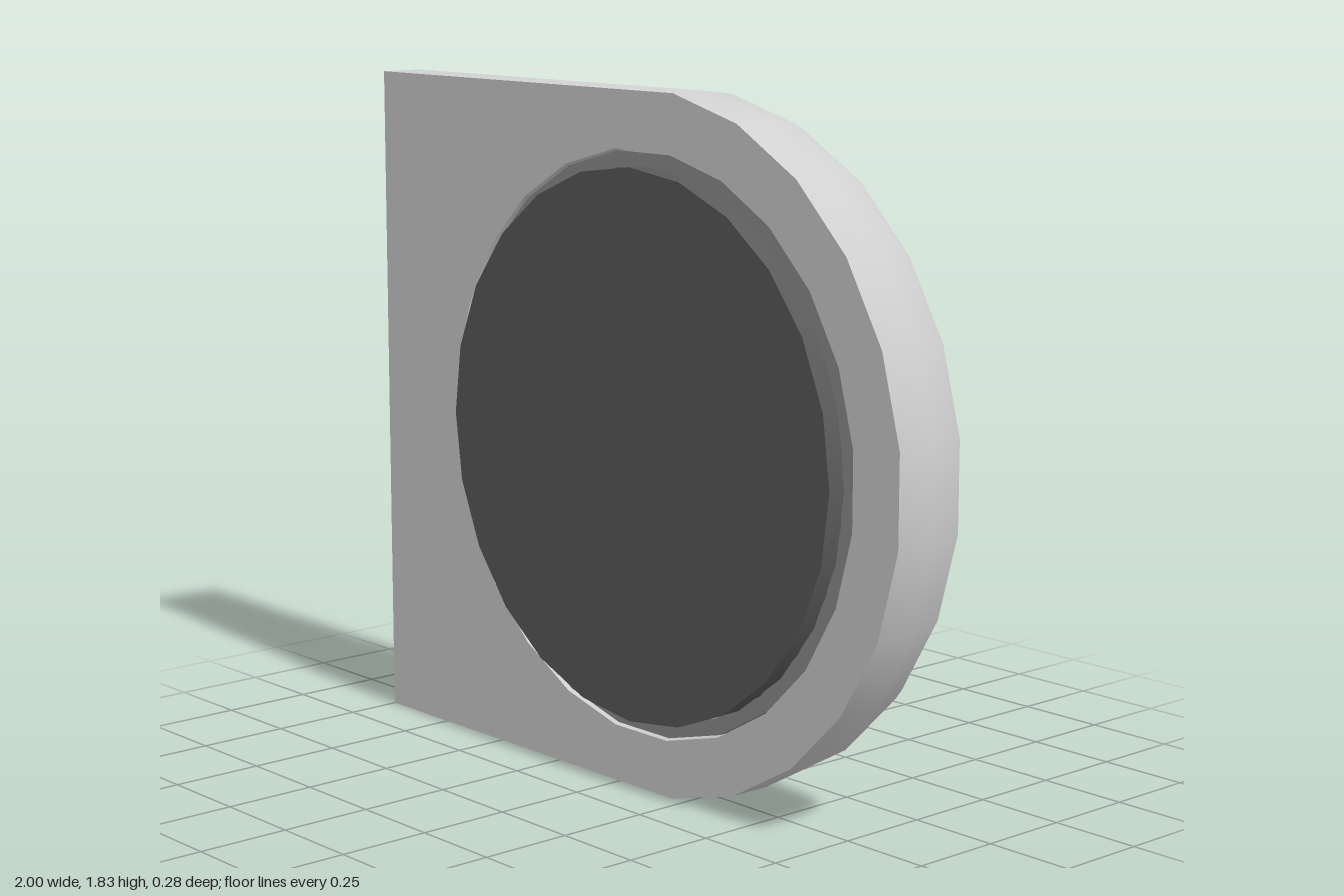
import * as THREE from 'three';
import { toCreasedNormals } from 'three/addons/utils/BufferGeometryUtils.js';

const CX = 0.085, CY = 0.915;
const CREASE = 0.5;

// circle arc points around the dial centre, in steps of 15 degrees
function arc(r, from, steps) {
  return Array.from({ length: steps }, (_, i) => {
    const a = THREE.MathUtils.degToRad(from + i * 15);
    return new THREE.Vector2(CX + r * Math.cos(a), CY + r * Math.sin(a));
  });
}

// housing outline: square on one end, round on the other
function outline(inset) {
  return [
    new THREE.Vector2(-1, inset),
    ...arc(0.923 - inset, -82.5, 12),
    new THREE.Vector2(-1, 2 * CY - inset),
  ];
}

const holeLoop = (r) => arc(r, 7.5, 24).reverse();

// wall through closed loops listed from front to back
function loft(layers) {
  const pos = [], index = [], n = layers[0].loop.length;
  layers.forEach(({ loop, z }) => loop.forEach((p) => pos.push(p.x, p.y, z)));
  for (let k = 0; k < layers.length - 1; k++) {
    for (let i = 0; i < n; i++) {
      const j = (i + 1) % n;
      const a = k * n + i, b = k * n + j, c = a + n, d = b + n;
      index.push(a, c, b, b, c, d);
    }
  }
  const g = new THREE.BufferGeometry();
  g.setAttribute('position', new THREE.Float32BufferAttribute(pos, 3));
  g.setIndex(index);
  return toCreasedNormals(g, CREASE);
}

// flat face with the dial opening
function cap(loop, hole, z, back) {
  const shape = new THREE.Shape(loop);
  shape.holes.push(new THREE.Path(hole));
  const g = new THREE.ShapeGeometry(shape);
  if (back) {
    const ix = g.index.array;
    for (let i = 0; i < ix.length; i += 3) [ix[i], ix[i + 1]] = [ix[i + 1], ix[i]];
    g.computeVertexNormals();
  }
  return g.translate(0, 0, z);
}

// turned part whose axis runs front to back; profile is [radius, z]
function turned(profile, phase) {
  const pts = profile.map(([r, z]) => new THREE.Vector2(r, z));
  const g = new THREE.LatheGeometry(pts, 24, phase);
  g.rotateX(Math.PI / 2).translate(CX, CY, 0);
  return toCreasedNormals(g, CREASE);
}

export function createModel() {
  const mat = (name, color) => {
    const m = new THREE.MeshStandardMaterial({ color });
    m.name = name;
    return m;
  };
  const lightGrey = mat('light grey', 0xd0d0d0);
  const midGrey = mat('mid grey', 0x8e8e8e);
  const darkGrey = mat('dark grey', 0x5a5a5a);

  const model = new THREE.Group();
  model.name = 'wallClock';
  const add = (parent, name, geometry, material) => {
    const m = new THREE.Mesh(geometry, material);
    m.name = name;
    parent.add(m);
    return m;
  };

  // housing with softened edges towards the dial side
  const housing = new THREE.Group();
  housing.name = 'housing';
  model.add(housing);
  const outer = [[0, 0.1], [0, -0.02], [0.01, -0.1], [0.03, -0.14]];
  const inner = [[0.77, 0.1], [0.77, -0.09], [0.775, -0.12], [0.79, -0.14]];
  add(housing, 'outerWall', loft(outer.map(([d, z]) => ({ loop: outline(d), z }))), lightGrey);
  add(housing, 'openingWall', loft(inner.map(([r, z]) => ({ loop: holeLoop(r), z }))), lightGrey);
  add(housing, 'mountFace', cap(outline(0), holeLoop(0.77), 0.1, false), lightGrey);
  add(housing, 'dialSideFace', cap(outline(0.03), holeLoop(0.79), -0.14, true), lightGrey);

  // ring lining the opening
  add(model, 'bezelRing', turned(
    [[0.765, -0.08], [0.765, 0.09], [0.722, 0.09], [0.722, -0.08], [0.765, -0.08]], Math.PI / 24), midGrey);

  // shallow cup that carries the dial
  add(model, 'dialCup', turned(
    [[0, 0.02], [0.695, 0.02], [0.695, -0.06], [0.725, -0.06], [0.725, 0.14], [0, 0.14]], 0), darkGrey);

  // hour markers, long at the quarters
  const markers = new THREE.Group();
  markers.name = 'hourMarkers';
  markers.position.set(CX, CY, 0);
  model.add(markers);
  for (let i = 0; i < 12; i++) {
    const quarter = i % 3 === 0;
    const len = quarter ? 0.13 : 0.06;
    const g = new THREE.BoxGeometry(0.045, len, 0.055);
    g.translate(0, 0.685 - len / 2, -0.005);
    const m = add(markers, quarter ? 'quarterMarker' : 'hourMarker', g, quarter ? lightGrey : midGrey);
    m.rotation.z = (i * Math.PI) / 6;
  }
  return model;
}
